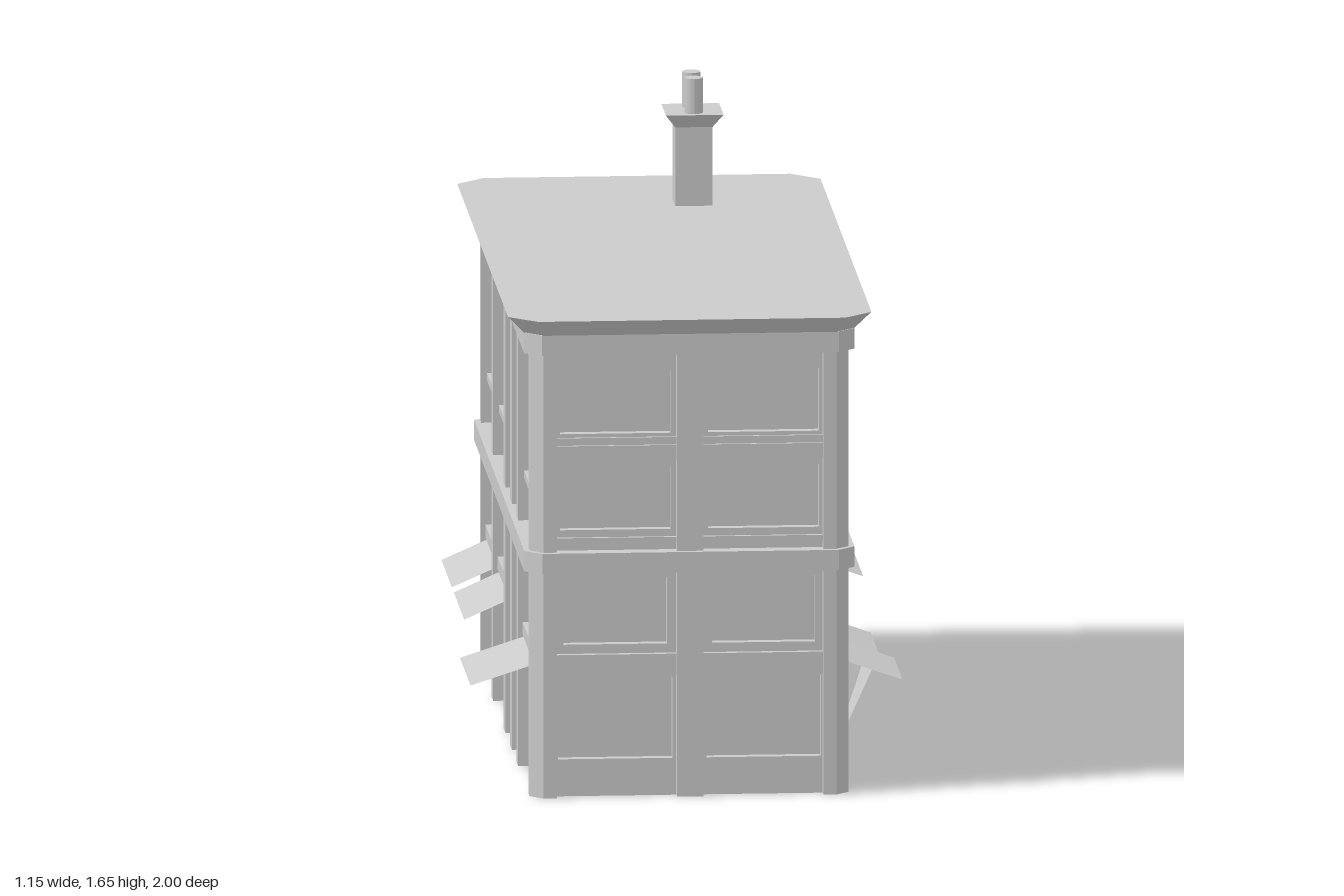
import * as THREE from 'three';

const grey = new THREE.MeshStandardMaterial({ color: 0xcccccc, flatShading: true });
const thin = new THREE.MeshStandardMaterial({ color: 0xcccccc, flatShading: true, side: THREE.DoubleSide });
const HX = 0.425, HZ = 0.94, BAND = 0.61, MID = 0.665, TOP = 1.2;

function add(parent, name, geometry, material = grey) {
  const mesh = new THREE.Mesh(geometry, material);
  mesh.name = name;
  parent.add(mesh);
  return mesh;
}

function box(parent, name, u0, u1, y0, y1, w0, w1) {
  const mesh = add(parent, name, new THREE.BoxGeometry(u1 - u0, y1 - y0, w1 - w0));
  mesh.position.set((u0 + u1) / 2, (y0 + y1) / 2, (w0 + w1) / 2);
  return mesh;
}

// Solid joining chamfered rectangles; each ring is [halfX, halfZ, chamfer, y]
function loft(rings) {
  const pos = [], idx = [], n = 8;
  for (const [x, z, c, y] of rings) {
    for (const [px, pz] of [[x, z - c], [x - c, z], [c - x, z], [-x, z - c],
      [-x, c - z], [c - x, -z], [x - c, -z], [x, c - z]]) pos.push(px, y, pz);
  }
  for (let r = 0; r < rings.length - 1; r++) for (let i = 0; i < n; i++) {
    const a = r * n + i, b = r * n + (i + 1) % n;
    idx.push(a, a + n, b, b, a + n, b + n);
  }
  const t = (rings.length - 1) * n;
  for (let i = 1; i < n - 1; i++) idx.push(0, i, i + 1, t, t + i + 1, t + i);
  const g = new THREE.BufferGeometry();
  g.setAttribute('position', new THREE.Float32BufferAttribute(pos, 3));
  g.setIndex(idx);
  const flat = g.toNonIndexed();
  flat.computeVertexNormals();
  return flat;
}

function surface(points) {
  const g = new THREE.BufferGeometry().setFromPoints(points.map(p => new THREE.Vector3(...p)));
  g.setIndex(points.length === 4 ? [0, 1, 2, 0, 2, 3] : [0, 1, 2]);
  g.computeVertexNormals();
  return g;
}

function rect(Type, u0, u1, y0, y1) {
  const s = new Type();
  s.moveTo(u0, y0); s.lineTo(u1, y0); s.lineTo(u1, y1); s.lineTo(u0, y1); s.closePath();
  return s;
}

// Wall infill between two pilasters, pierced by rectangular or arched openings
function bay(f, u0, u1, y0, y1, openings) {
  const s = rect(THREE.Shape, u0, u1, y0, y1);
  for (const [a, b, c, d, arched] of openings) {
    if (!arched) { s.holes.push(rect(THREE.Path, a, b, c, d)); continue; }
    const r = (b - a) / 2, p = new THREE.Path();
    p.moveTo(a, c); p.lineTo(b, c); p.lineTo(b, d - r);
    p.absarc((a + b) / 2, d - r, r, 0, Math.PI, false);
    p.closePath();
    s.holes.push(p);
  }
  const g = new THREE.ExtrudeGeometry(s, { depth: 0.03, bevelEnabled: false, curveSegments: 10 });
  add(f, 'bayWall', g).position.z = f.userData.D - 0.058;
}

function ledge(f, u0, u1, y0, y1, out = 0.012) {
  box(f, 'ledge', u0, u1, y0, y1, f.userData.D - 0.05, f.userData.D - out);
}

function pilaster(f, u0, u1) {
  const D = f.userData.D;
  box(f, 'pilaster', u0, u1, 0, TOP, D - 0.06, D);
}

function awning(f, u0, u1, reach, yTop = 0.355, yLow = 0.295) {
  const w = f.userData.D - 0.03;
  add(f, 'awning', surface([[u0, yLow, reach], [u1, yLow, reach], [u1, yTop, w], [u0, yTop, w]]), thin);
}

// One facade: u runs to the viewer's right, D is the outer plane
function facade(parent, name, angle, D) {
  const f = new THREE.Group();
  f.name = name;
  f.rotation.y = angle;
  f.userData.D = D;
  parent.add(f);
  return f;
}

function endFacade(parent, name, angle) {
  const f = facade(parent, name, angle, HZ);
  pilaster(f, -0.035, 0.035);
  for (const [a, b] of [[-0.36, -0.035], [0.035, 0.36]]) {
    bay(f, a, b, MID, TOP, [[a + 0.015, b - 0.015, 0.72, 0.89], [a + 0.015, b - 0.015, 0.98, 1.15]]);
    bay(f, a, b, 0, BAND, [[a + 0.01, b - 0.01, 0.1, 0.32], [a + 0.025, b - 0.025, 0.41, 0.59]]);
    ledge(f, a, b, 0.91, 0.95);
    ledge(f, a, b, 0.95, 0.97, 0.02);
    ledge(f, a, b, 0.685, 0.7, 0.018);
    ledge(f, a, b, 0.355, 0.385);
    ledge(f, a, b, 0.325, 0.355, 0.02);
  }
}

function upperWindow(f, a, b) {
  bay(f, a, b, MID, TOP, [[a + 0.004, b - 0.004, 0.8, 1.065]]);
  ledge(f, a, b, 0.78, 0.8, 0.016);
}

function shopBay(f, a, b, opening) {
  bay(f, a, b, 0, BAND, [opening, [a + 0.006, b - 0.006, 0.392, 0.6]]);
  ledge(f, a, b, 0.355, 0.39);
  ledge(f, a, b, 0.3, 0.355, 0.02);
}

export function createModel() {
  const root = new THREE.Group();
  const house = new THREE.Group();
  house.name = 'building';
  house.position.x = 0.004;
  root.add(house);

  // Core, belt courses and flat flared roof
  add(house, 'core', loft([[HX - 0.055, HZ - 0.055, 0.02, 0], [HX - 0.055, HZ - 0.055, 0.02, 1.25]]));
  add(house, 'plinth', loft([[HX - 0.03, HZ - 0.03, 0.02, 0], [HX - 0.03, HZ - 0.03, 0.02, 0.004]]));
  add(house, 'beltCourse', loft([[0.44, 0.955, 0.045, BAND], [0.44, 0.955, 0.045, MID]]));
  add(house, 'frieze', loft([[0.44, 0.953, 0.045, TOP], [0.44, 0.953, 0.045, 1.256]]));
  add(house, 'roofCornice', loft([[0.44, 0.953, 0.05, 1.255], [0.484, 1, 0.075, 1.302]]));

  // Chamfered corner posts
  for (const sx of [-1, 1]) for (const sz of [-1, 1]) {
    const s = new THREE.Shape([[HX - 0.07, HZ - 0.07], [HX, HZ - 0.07], [HX, HZ - 0.035], [HX - 0.035, HZ],
      [HX - 0.07, HZ]].map(([x, z]) => new THREE.Vector2(x * sx, -z * sz)));
    const g = new THREE.ExtrudeGeometry(s, { depth: TOP, bevelEnabled: false });
    g.rotateX(-Math.PI / 2);
    add(house, 'cornerPost', g);
  }

  endFacade(house, 'frontFacade', 0);
  endFacade(house, 'backFacade', Math.PI);

  // Left flank (+x): u = -z, five bays with an arched entrance
  const l = facade(house, 'entranceFacade', Math.PI / 2, HX);
  for (const [a, b] of [[-0.565, -0.495], [-0.195, -0.125], [0.12, 0.19], [0.49, 0.565]]) pilaster(l, a, b);
  for (const [a, b] of [[-0.87, -0.565], [-0.495, -0.195], [0.19, 0.49], [0.565, 0.87]]) upperWindow(l, a, b);
  bay(l, -0.125, 0.12, MID, TOP, [[-0.103, 0.1, 0.69, 1.18]]);
  bay(l, -0.125, 0.12, 0, BAND, [[-0.122, 0.117, 0.003, 0.607, true]]);
  box(l, 'entranceTransom', -0.122, 0.117, 0.235, 0.255, HX - 0.06, HX - 0.042);
  for (const u of [-0.122, 0.098]) box(l, 'doorJamb', u, u + 0.02, 0, 0.235, HX - 0.06, HX - 0.042);
  for (const [a, b] of [[-0.87, -0.565], [0.565, 0.87]]) {
    shopBay(l, a, b, [a + 0.005, b - 0.005, 0.1, 0.27]);
    awning(l, a, b, 0.571);
  }
  shopBay(l, -0.495, -0.195, [-0.485, -0.2, 0.003, 0.29]);
  awning(l, -0.49, -0.19, 0.536, 0.34, 0.29);
  add(l, 'awningBrace', surface([[-0.49, 0.29, 0.536], [-0.49, 0, HX - 0.02], [-0.22, 0.29, 0.536]]), thin);
  shopBay(l, 0.19, 0.49, [0.245, 0.44, 0.003, 0.255]);

  // Right flank (-x): u = z, three wide bays and a pair of narrow ones
  const r = facade(house, 'shopFacade', -Math.PI / 2, HX);
  for (const [a, b] of [[-0.49, -0.42], [-0.04, 0.03], [0.19, 0.26], [0.42, 0.485]]) pilaster(r, a, b);
  for (const [a, b, reach] of [[-0.87, -0.49, 0.53], [-0.42, -0.04, 0.53], [0.485, 0.87, 0.58]]) {
    upperWindow(r, a, b);
    shopBay(r, a, b, [a + 0.01, b - 0.01, 0.1, 0.27]);
    awning(r, a, b, reach);
  }
  for (const [a, b] of [[0.03, 0.19], [0.26, 0.42]]) {
    bay(r, a, b, MID, TOP, [[a + 0.02, b - 0.02, 0.69, 1.18]]);
    shopBay(r, a, b, [a + 0.02, b - 0.02, 0.003, 0.255]);
  }

  // Chimney with flared cap and two pots
  const chimney = new THREE.Group();
  chimney.name = 'chimney';
  chimney.position.set(0.121, 0, -0.627);
  house.add(chimney);
  add(chimney, 'chimneyStack', loft([[0.05, 0.053, 0.001, 1.29], [0.05, 0.053, 0.001, 1.515],
    [0.077, 0.082, 0.001, 1.553]]));
  for (const z of [-0.042, 0.042]) {
    add(chimney, 'chimneyPot', new THREE.CylinderGeometry(0.025, 0.025, 0.1, 16)).position.set(0, 1.598, z);
  }
  return root;
}
